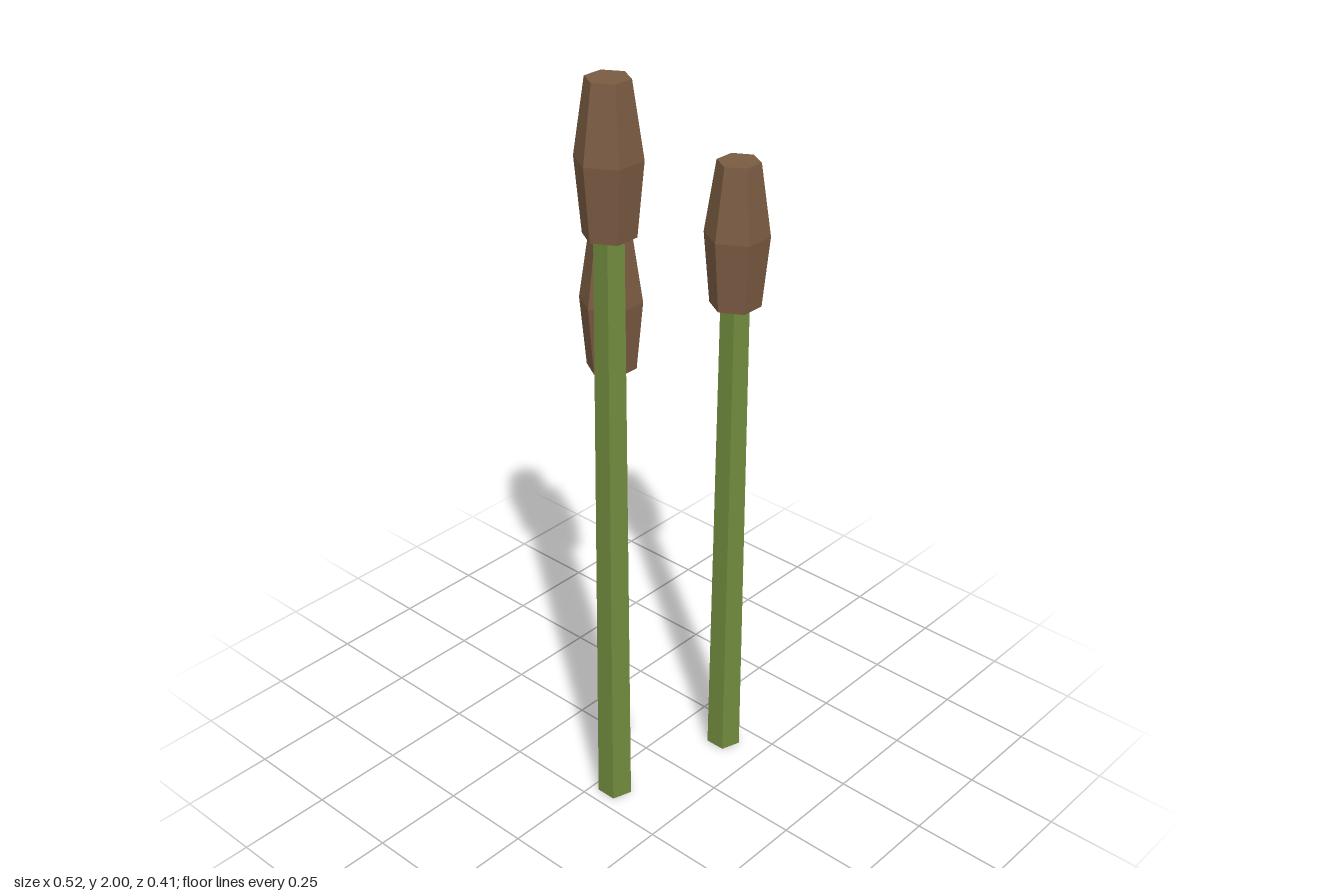
import * as THREE from 'three';

const brown = new THREE.MeshStandardMaterial({ color: 0x7a5b42, flatShading: true });
brown.name = 'seed head brown';
const green = new THREE.MeshStandardMaterial({ color: 0x708a3e, flatShading: true });
green.name = 'stem green';

const HEAD_HEIGHT = 0.372;

// Six-sided seed head, closed at both ends, widest in the middle
const headGeometry = new THREE.LatheGeometry([
  new THREE.Vector2(0, 0),
  new THREE.Vector2(0.065, 0),
  new THREE.Vector2(0.082, HEAD_HEIGHT / 2),
  new THREE.Vector2(0.054, HEAD_HEIGHT),
  new THREE.Vector2(0, HEAD_HEIGHT),
], 6, Math.PI / 2);

// One reed: tapered five-sided stem with a head on top
function makeReed(x, z, top) {
  const reed = new THREE.Group();
  reed.name = 'reed';
  const stemHeight = top - HEAD_HEIGHT;

  const stem = new THREE.Mesh(
    new THREE.CylinderGeometry(0.038, 0.0465, stemHeight, 5, 1, false, Math.PI / 2), green);
  stem.name = 'stem';
  stem.position.y = stemHeight / 2;

  const head = new THREE.Mesh(headGeometry, brown);
  head.name = 'seedHead';
  head.position.y = stemHeight;

  reed.add(stem, head);
  reed.position.set(x, 0, z);
  return reed;
}

export function createModel() {
  const model = new THREE.Group();
  model.name = 'reeds';
  // x, z and top height of each reed
  const reeds = [
    [-0.179, 0.05, 2.0],
    [0.018, -0.135, 1.524],
    [0.178, 0.133, 1.727],
  ];
  for (const [x, z, top] of reeds) model.add(makeReed(x, z, top));
  return model;
}
